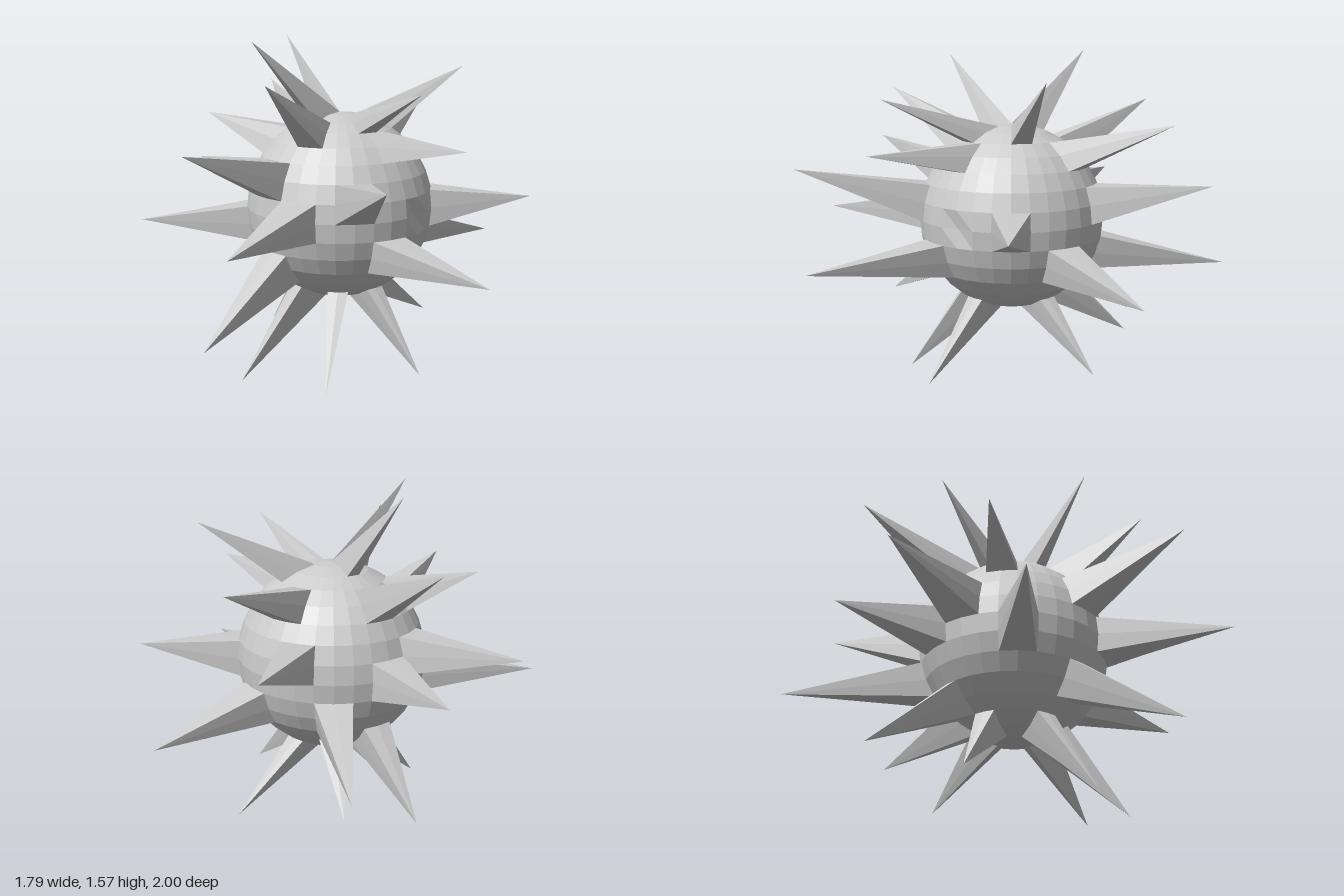
import * as THREE from 'three';

const CENTRE = new THREE.Vector3(-0.04, 0.78, -0.05);
const RADIUS = 0.443;
const STEP = Math.PI / 16; // angle of one facet of the ball

// Spike tips (x, y, z) and the ball's latitude row each spike grows from
const SPIKES = [
  // upper
  [-0.51, 1.556, 0.06, 7], [-0.12, 1.57, -0.5, 7], [0.01, 1.353, 0.62, 6], [0.547, 1.43, 0.1, 6],
  [0.67, 1.248, -0.468, 4], [-0.56, 1.388, 0.35, 5], [-0.55, 1.205, -0.476, 4], [-0.07, 1.324, -0.86, 4],
  // around the middle
  [-0.894, 1.118, 0.296, 2], [-0.317, 1.03, 0.93, 1], [0.155, 1.125, 0.738, 4], [0.645, 0.965, -0.707, 1],
  [0.757, 0.825, 0.385, 0], [-0.823, 0.761, 0.608, 0], [-0.894, 0.694, -0.503, -1], [0.1, 0.632, 1, -2],
  [0.892, 0.527, -0.165, -2], [-0.48, 0.922, -0.888, 1], [-0.063, 0.81, -0.945, 0], [0.407, 0.536, -1, -2],
  // lower
  [-0.831, 0.27, 0.27, -3], [-0.58, 0, 0.02, -6], [-0.316, 0, 0.375, -6], [-0.06, 0.215, -0.764, -4],
  [0.118, 0.063, 0.458, -6], [0.186, 0.193, -0.571, -5], [0.515, 0.124, -0.178, -6], [-0.255, 0.123, -0.41, -6],
];

// Outline of a base patch, two facets wide and high, counter-clockwise from outside
const RING = [[-1, -1], [0, -1], [1, -1], [1, 0], [1, 1], [0, 1], [-1, 1], [-1, 0]];

// Corner of the ball's facet grid, relative to its centre
function gridPoint(column, row) {
  const lon = (column + 0.5) * STEP;
  const lat = row * STEP;
  return new THREE.Vector3(Math.sin(lon) * Math.cos(lat), Math.sin(lat), Math.cos(lon) * Math.cos(lat))
    .multiplyScalar(RADIUS);
}

// Spike drawn out of the patch of facets nearest to the tip's heading
function spikeGeometry(tip, row) {
  const column = Math.round(Math.atan2(tip.x, tip.z) / STEP - 0.5);
  const ring = RING.map(([c, r]) => gridPoint(column + c, row + r));
  const points = ring.flatMap((p, i) => [p, ring[(i + 1) % ring.length], tip]);
  const geometry = new THREE.BufferGeometry().setFromPoints(points);
  geometry.computeVertexNormals();
  return geometry;
}

// Faceted ball with one dented patch at the front left
function ballGeometry() {
  const geometry = new THREE.SphereGeometry(RADIUS, 32, 16).rotateY(STEP / 2);
  const dent = gridPoint(2, 0);
  const position = geometry.attributes.position;
  const p = new THREE.Vector3();
  for (let i = 0; i < position.count; i++) {
    p.fromBufferAttribute(position, i);
    if (p.distanceTo(dent) < 0.01) {
      p.multiplyScalar(0.95);
      position.setXYZ(i, p.x, p.y, p.z);
    }
  }
  return geometry;
}

export function createModel() {
  const group = new THREE.Group();
  const material = new THREE.MeshStandardMaterial({ color: 0xcccccc, flatShading: true });

  const ball = new THREE.Mesh(ballGeometry(), material);
  ball.name = 'ball';
  ball.position.copy(CENTRE);
  group.add(ball);

  const spikes = new THREE.Group();
  spikes.name = 'spikes';
  spikes.position.copy(CENTRE);
  for (const [x, y, z, row] of SPIKES) {
    const tip = new THREE.Vector3(x, y, z).sub(CENTRE);
    const spike = new THREE.Mesh(spikeGeometry(tip, row), material);
    spike.name = 'spike';
    spikes.add(spike);
  }
  group.add(spikes);

  return group;
}
